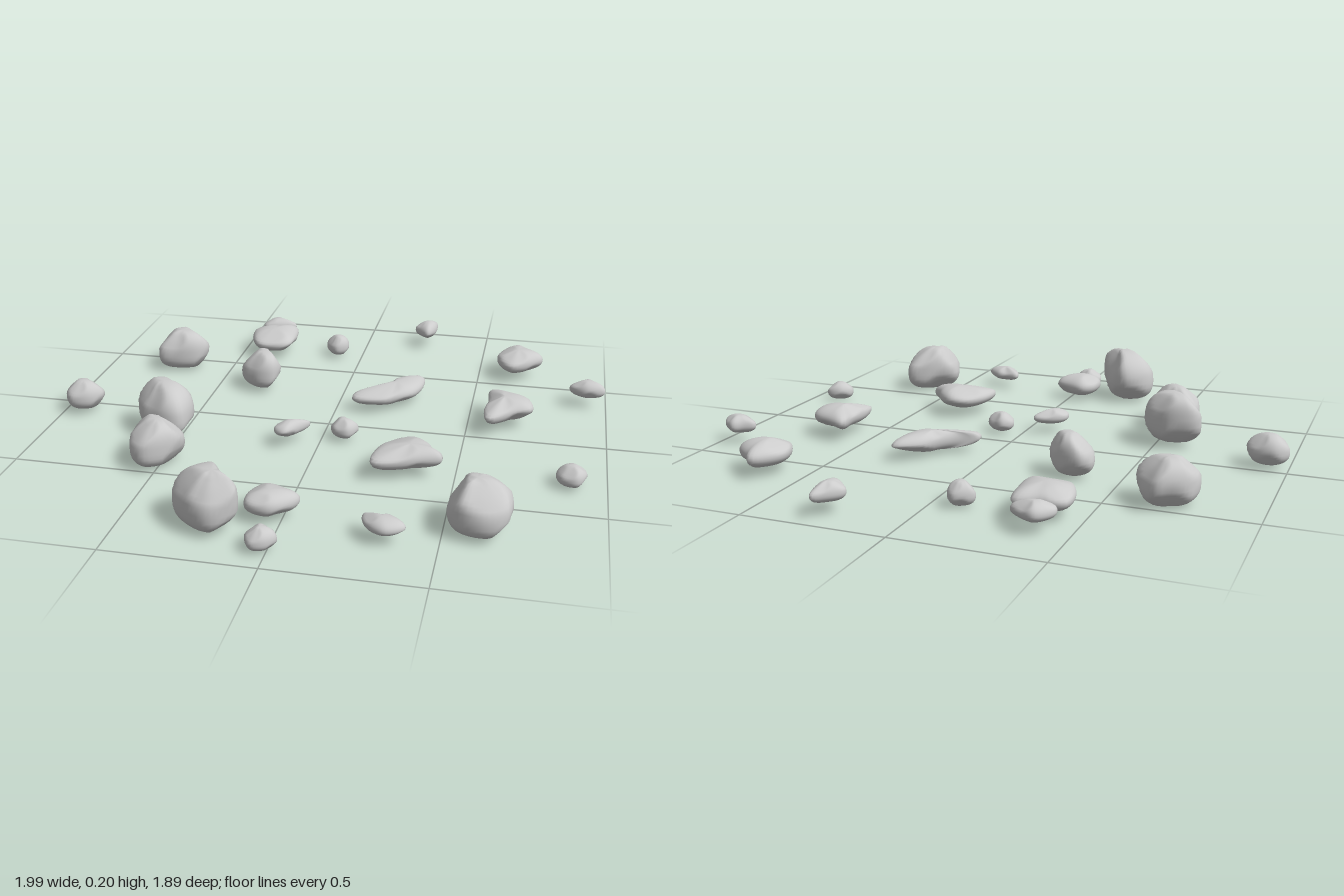
import * as THREE from 'three';

// Each stone: [bottom y, top y, lean x, lean z, plan outline x,z clockwise from above], in hundredths.
const boulders = [
  [0.3, 16, 0, 0, [-78, -46, -71, -52, -67, -53, -59, -43, -62, -38, -70, -35, -78, -36]],
  [1, 15.5, 1, 0, [-41, -30, -38, -36, -28, -33, -25, -28, -27, -22, -33, -21, -40, -26]],
  [1.5, 20, -1, -2, [-67, 16, -65, 12, -56, 10, -51, 12, -46, 17, -45, 21, -47, 29, -52, 30, -62, 25]],
  [0.3, 16.5, 1, 0, [-61, 35, -59, 33, -55, 34, -44, 35, -43, 44, -53, 52, -58, 49, -61, 40]],
  [0, 18, -2, 0, [51, 63, 58, 56, 67, 53, 70, 57, 70, 71, 63, 75, 53, 72]],
  [0, 20, 3, 2, [-33, 73, -24, 66, -17, 71, -13, 77, -11, 83, -19, 89, -32, 81]],
];
const slabs = [
  [2.5, 11, 0, 0, [-46, -72, -42, -74, -37, -74, -30, -76, -28, -68, -29, -57, -41, -55, -46, -63]],
  [2.5, 11.5, 0, 1, [57, -62, 60, -68, 65, -72, 68, -69, 75, -62, 72, -57, 63, -51, 58, -56]],
  [1.5, 9, 1, -1, [6, -15, 12, -19, 18, -26, 21, -32, 30, -37, 31, -30, 28, -21, 22, -16, 18, -13, 7, -12]],
  [3, 11.5, 0, 0, [57, -24, 65, -22, 72, -18, 73, -10, 66, -6, 58, 0, 56, -6, 57, -15]],
  [2.5, 11, 2, 0, [23, 31, 28, 23, 34, 21, 40, 25, 43, 30, 46, 33, 38, 37, 23, 41]],
  [1.5, 10, 0, 1, [-11, 66, -7, 62, 0, 64, 5, 67, 4, 71, -3, 77, -11, 75]],
];
const chips = [
  [3.5, 10, 0, 0, [-45, -79, -40, -85, -33, -82, -31, -80, -36, -77, -44, -76]],
  [3.8, 10.5, 0, 0, [20, -87, 25, -93, 28, -95, 29, -88, 26, -81, 22, -84]],
  [3.8, 10.5, 0, 0, [86, -36, 90, -39, 93, -41, 99, -36, 99, -34, 92, -32]],
  [3.5, 9, 0, 0, [-15, 18, -10, 14, -4, 13, -7, 19, -11, 24, -15, 22]],
  [3, 8.5, 0, 0, [26, 73, 31, 73, 35, 73, 40, 78, 34, 82, 28, 79]],
];
const pebbles = [
  [1, 12, 0, 0, [-100, 5, -96, 0, -88, 1, -85, 6, -89, 11, -96, 12]],
  [0.5, 8.7, 0, 0, [-15, -69, -12, -72, -9, -73, -6, -70, -6, -66, -10, -63, -14, -66]],
  [0.8, 8, 0, 0, [3, 10, 6, 6, 10, 7, 13, 10, 10, 15, 5, 14]],
  [0.5, 7.7, 0, 0, [83, 30, 86, 26, 92, 26, 93, 31, 90, 35, 85, 34]],
  [0.3, 7.7, 0, 0, [-7, 88, -2, 84, 1, 86, 3, 89, 0, 93, -4, 94, -6, 92]],
];

const SIDES = 40, RINGS = 20;

function seeded(seed) {
  return () => {
    seed = (seed * 16807) % 2147483647;
    return seed / 2147483647;
  };
}

// Smooth outline swept over rounded rings, then flattened by a few slanted facets.
function stoneGeometry([low, high, leanX, leanZ, plan], style, seed) {
  const pts = [];
  for (let i = 0; i < plan.length; i += 2) pts.push(new THREE.Vector3(plan[i], 0, plan[i + 1]));
  const outline = new THREE.CatmullRomCurve3(pts, true).getSpacedPoints(SIDES).slice(0, SIDES);
  const centre = new THREE.Vector3();
  for (const p of outline) centre.addScaledVector(p, 1 / SIDES);
  const belly = low + (high - low) * style.belly;

  const rand = seeded(seed * 7919 + 17);
  const facets = [];
  for (let i = 0; i < style.facets; i++) {
    const a = (i + rand() * 0.7) / style.facets * Math.PI * 2;
    const n = new THREE.Vector3(Math.cos(a), (i % 3 ? 0.8 : -0.7) + rand() * 0.3, Math.sin(a));
    facets.push({ n: n.normalize(), d: 0.8 + rand() * 0.12 });
  }

  const position = [], index = [];
  const q = new THREE.Vector3();
  for (let j = 0; j <= RINGS; j++) {
    const phi = (j / RINGS - 0.5) * Math.PI;
    const c = Math.pow(Math.max(Math.cos(phi), 0), style.round);
    const s = Math.sign(phi) * Math.pow(Math.abs(Math.sin(phi)), style.round);
    for (const p of outline) {
      const dx = p.x - centre.x, dz = p.z - centre.z, r = Math.hypot(dx, dz);
      q.set(dx / r * c, s, dz / r * c);
      // Pull towards the centre, so the plan keeps its outline.
      for (const { n, d } of facets) {
        const reach = q.dot(n);
        if (reach > d) q.multiplyScalar(1 - 0.8 * (reach - d) / reach);
      }
      const lean = Math.max(q.y, 0) ** 2;
      position.push(
        (centre.x + q.x * r + leanX * lean) / 100,
        (belly + q.y * (q.y > 0 ? high - belly : belly - low)) / 100,
        (centre.z + q.z * r + leanZ * lean) / 100);
    }
  }
  for (let j = 0; j < RINGS; j++) {
    for (let i = 0; i < SIDES; i++) {
      const k = (i + 1) % SIDES;
      const a = j * SIDES + i, b = j * SIDES + k, c = a + SIDES, d = b + SIDES;
      if (j > 0) index.push(b, a, c);
      if (j < RINGS - 1) index.push(b, c, d);
    }
  }
  const geo = new THREE.BufferGeometry();
  geo.setAttribute('position', new THREE.Float32BufferAttribute(position, 3));
  geo.setIndex(index);
  geo.computeVertexNormals();
  // Shade the poles evenly: all vertices of the end rings coincide.
  const normal = geo.attributes.normal;
  for (let i = 0; i < SIDES; i++) {
    normal.setXYZ(i, 0, -1, 0);
    normal.setXYZ(RINGS * SIDES + i, 0, 1, 0);
  }
  return geo;
}

export function createModel() {
  const model = new THREE.Group();
  model.name = 'scatteredStones';
  const material = new THREE.MeshStandardMaterial({ color: 0xcccccc, roughness: 0.9 });
  const kinds = [
    ['boulder', boulders, { belly: 0.4, round: 0.75, facets: 5 }],
    ['slab', slabs, { belly: 0.5, round: 0.95, facets: 4 }],
    ['chip', chips, { belly: 0.45, round: 0.95, facets: 3 }],
    ['pebble', pebbles, { belly: 0.42, round: 0.9, facets: 5 }],
  ];
  let seed = 1;
  for (const [name, stones, style] of kinds) {
    const group = new THREE.Group();
    group.name = name + 's';
    stones.forEach((stone, i) => {
      const mesh = new THREE.Mesh(stoneGeometry(stone, style, seed++), material);
      mesh.name = name + (i + 1);
      group.add(mesh);
    });
    model.add(group);
  }
  return model;
}
